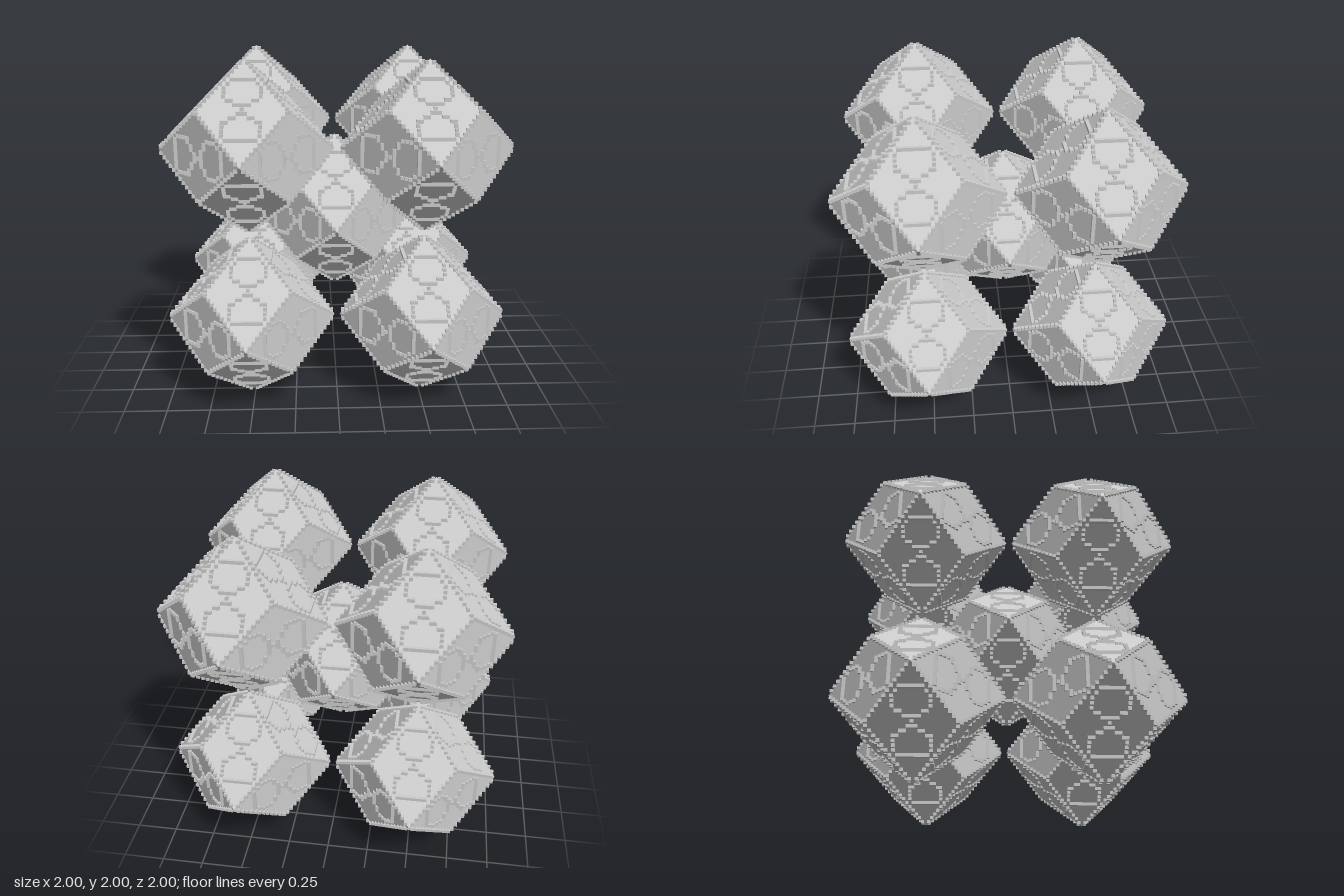
import * as THREE from 'three';
import { mergeGeometries } from 'three/addons/utils/BufferGeometryUtils.js';
import { ConvexGeometry } from 'three/addons/geometries/ConvexGeometry.js';

const R = 0.4925;       // centre to four-edge tip
const N = 25;           // grid cells along that radius
const S = R / N;        // cell size
const OFFSET = 0.5075;  // corner cells from the middle one
const SIGNS = [-1, 1];

// Rhombic dodecahedron: six tips and eight cube corners
function coreGeometry() {
  const points = [];
  for (const s of SIGNS) {
    points.push(new THREE.Vector3(s * R, 0, 0), new THREE.Vector3(0, s * R, 0), new THREE.Vector3(0, 0, s * R));
    for (const t of SIGNS) for (const u of SIGNS)
      points.push(new THREE.Vector3(s, t, u).multiplyScalar(R / 2));
  }
  return new ConvexGeometry(points);
}

// Small blocks at grid positions, duplicates dropped
function blocksGeometry(cells) {
  const unique = new Map(cells.map(c => [c.join(), c]));
  return mergeGeometries([...unique.values()].map(([x, y, z]) =>
    new THREE.BoxGeometry(S, S, S).translate(x * S, y * S, z * S)));
}

// Beaded ridges from each tip to its four neighbouring corners
function edgeCells() {
  const cells = [];
  for (let axis = 0; axis < 3; axis++)
    for (const s of SIGNS) for (const t of SIGNS) for (const u of SIGNS)
      for (let i = 1; i <= 12; i++) {
        const c = [0, 0, 0];
        c[axis] = s * (N - i);
        c[(axis + 1) % 3] = t * i;
        c[(axis + 2) % 3] = u * i;
        cells.push(c);
      }
  return cells;
}

// Hourglass emblem: two hexagonal outlines joined at their narrow ends.
// Points are [along the long diagonal, across it] in grid cells.
function emblemCells() {
  const half = [[7, 3], [5.5, 5], [3, 5], [1, 1], [1, -1], [3, -5], [5.5, -5], [7, -3], [7, 3]];
  const lines = [half, half.map(([t, v]) => [-t, v]), [[-1, 0], [1, 0]]];
  const marks = [];
  for (const line of lines)
    for (let k = 0; k + 1 < line.length; k++) {
      const [t0, v0] = line[k], [t1, v1] = line[k + 1];
      const n = Math.ceil(Math.max(Math.abs(t1 - t0), Math.abs(v1 - v0)));
      for (let i = 0; i <= n; i++)
        marks.push([t0 + (t1 - t0) * i / n, v0 + (v1 - v0) * i / n]);
    }
  const cells = [];
  for (let axis = 0; axis < 3; axis++)
    for (const s of SIGNS) for (const t of SIGNS)
      for (const [along, across] of marks) {
        const a = Math.round(N / 2 + along);
        const c = [0, 0, 0];
        c[axis] = s * a;
        c[(axis + 1) % 3] = t * (N - a);
        c[(axis + 2) % 3] = Math.round(across);
        cells.push(c);
      }
  return cells;
}

export function createModel() {
  const model = new THREE.Group();
  model.name = 'dodecahedronCluster';
  const material = new THREE.MeshStandardMaterial({ color: 0xcccccc, flatShading: true });
  const parts = {
    body: coreGeometry(),
    edgeRidges: blocksGeometry(edgeCells()),
    faceEmblems: blocksGeometry(emblemCells()),
  };

  const addCell = (name, x, y, z) => {
    const cell = new THREE.Group();
    cell.name = name;
    for (const [part, geometry] of Object.entries(parts)) {
      const mesh = new THREE.Mesh(geometry, material);
      mesh.name = part;
      cell.add(mesh);
    }
    cell.position.set(x * OFFSET, 1 + y * OFFSET, z * OFFSET);
    model.add(cell);
  };

  // One cell in the middle, one at each corner of a cube
  addCell('centreCell', 0, 0, 0);
  for (const x of SIGNS) for (const y of SIGNS) for (const z of SIGNS)
    addCell('cornerCell', x, y, z);
  return model;
}
